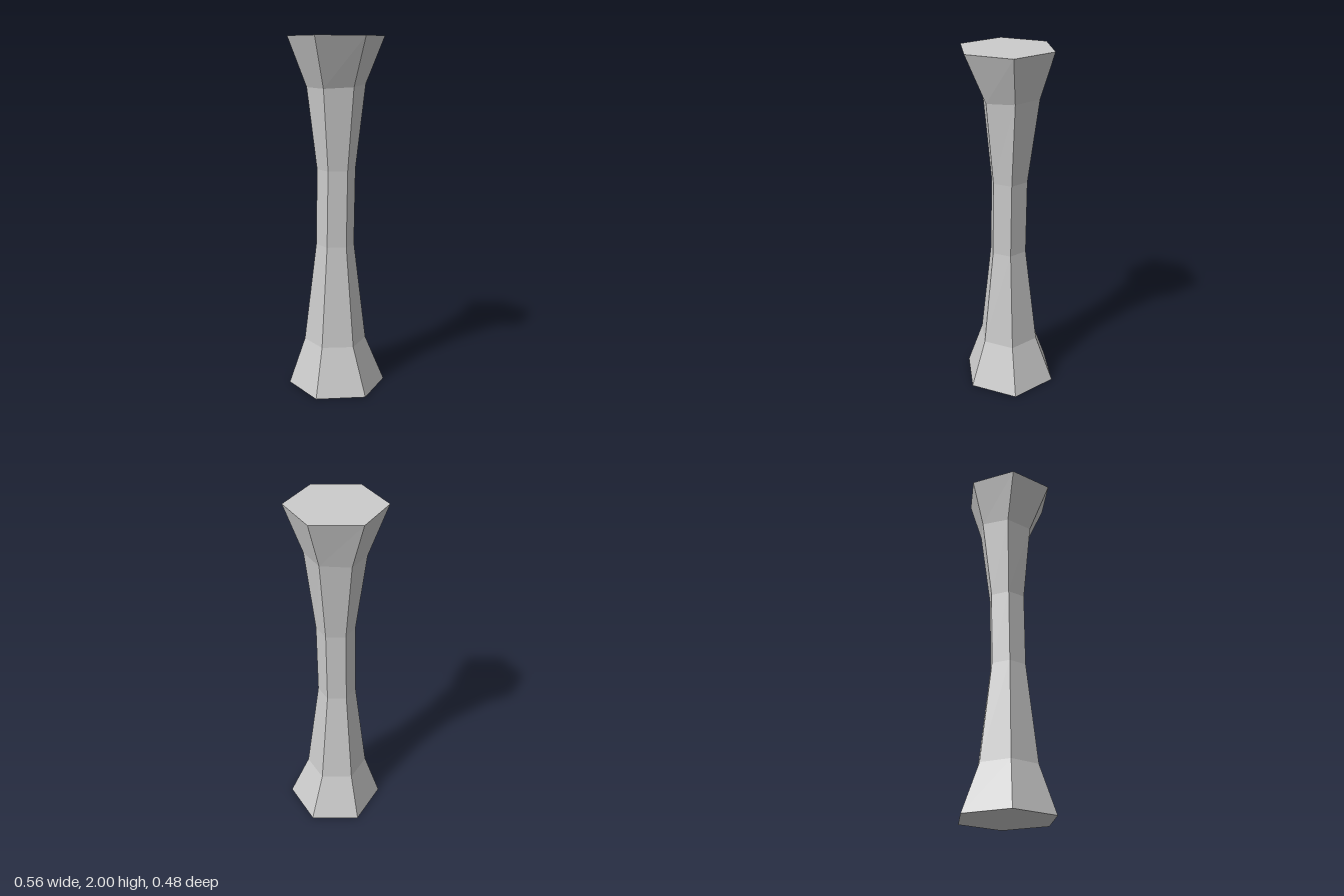
import * as THREE from 'three';

// Cross-sections from bottom to top: height, centre x, centre z, radius, tilt in x, tilt in z
const RINGS = [
  [0.00, 0.000, 0.000, 0.280, 0, 0],
  [0.272, -0.010, 0.004, 0.178, -0.01, 0],
  [0.845, -0.010, 0.006, 0.108, 0, 0],
  [1.275, -0.003, 0.001, 0.108, 0, 0],
  [1.735, -0.002, -0.009, 0.163, 0.05, -0.05],
  [2.00, -0.004, 0.013, 0.265, 0, 0],
];

export function createModel() {
  const group = new THREE.Group();
  group.name = 'hourglassColumn';

  // Unit hexagonal prism with one row of vertices per ring, corners on the x axis
  const segments = RINGS.length - 1;
  const geometry = new THREE.CylinderGeometry(1, 1, 2, 6, segments, false, Math.PI / 2);
  const position = geometry.attributes.position;

  // Move every row onto its own slightly off-centre, tilted ring
  for (let i = 0; i < position.count; i++) {
    const row = Math.round(((position.getY(i) + 1) / 2) * segments);
    const [y, cx, cz, radius, tiltX, tiltZ] = RINGS[row];
    const dx = position.getX(i) * radius;
    const dz = position.getZ(i) * radius;
    position.setXYZ(i, cx + dx, y + dx * tiltX + dz * tiltZ, cz + dz);
  }
  geometry.computeVertexNormals();

  const material = new THREE.MeshStandardMaterial({ color: 0xcccccc, flatShading: true });
  const column = new THREE.Mesh(geometry, material);
  column.name = 'column';
  group.add(column);
  return group;
}
